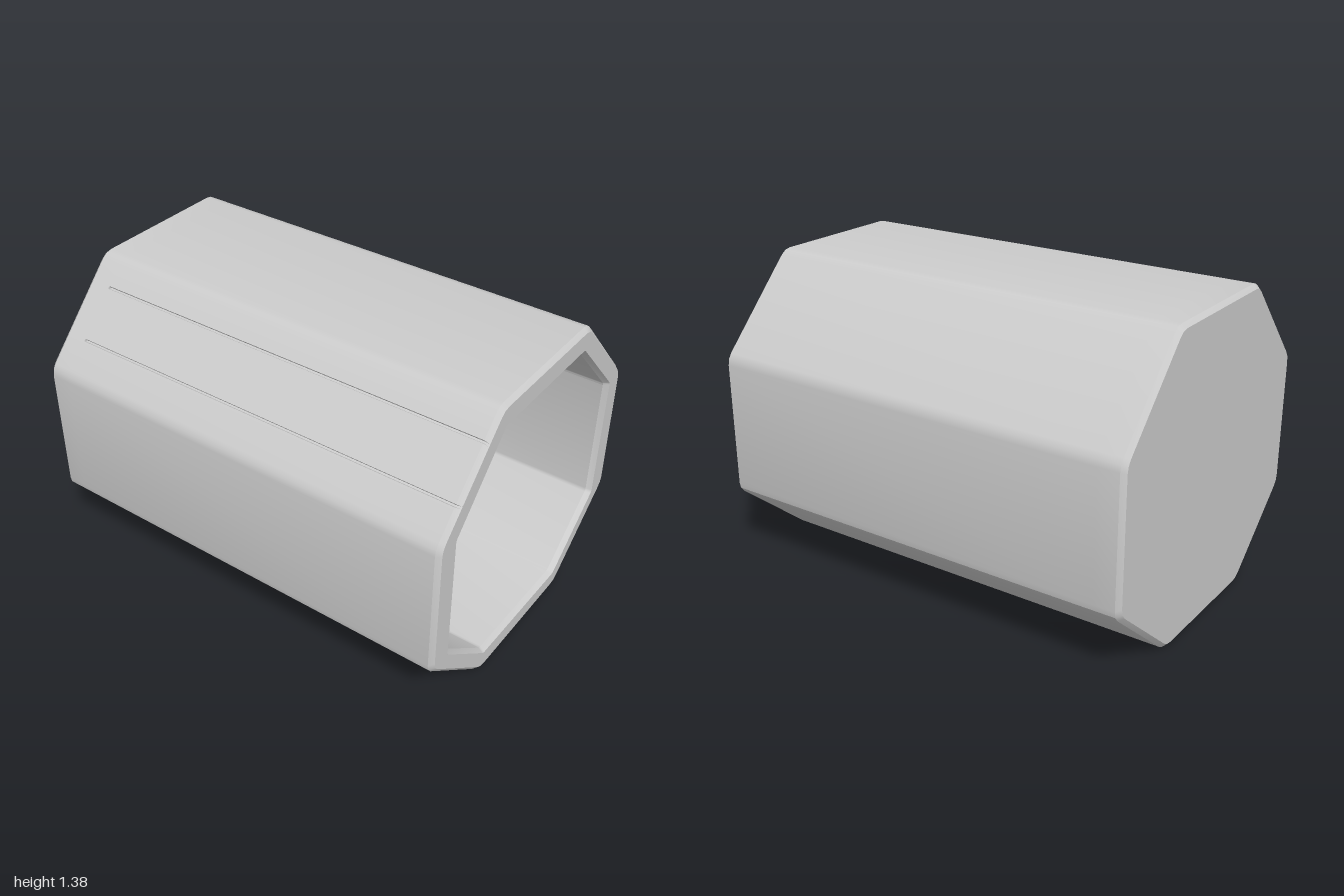
import * as THREE from 'three';
import { toCreasedNormals } from 'three/addons/utils/BufferGeometryUtils.js';

// Octagon corners, counterclockwise seen from the front
const OUTER = [[0.735, 0.34], [0.735, 0.965], [0.345, 1.375], [-0.345, 1.375],
  [-0.735, 0.965], [-0.735, 0.34], [-0.335, 0], [0.335, 0]];
const INNER = [[0.61, 0.355], [0.62, 0.94], [0.305, 1.265], [-0.305, 1.265],
  [-0.61, 0.935], [-0.61, 0.355], [-0.305, 0.1], [0.3, 0.09]];
const CENTRE = new THREE.Vector2(0, 0.685);
const GROOVES = [0.25, 0.69]; // positions along the grooved upper facet
const GROOVED_EDGE = 3;

// One cross-section: softened corners, plus two plank grooves of a given depth
function ring(corners, z, { scale = 1, soft = 0.03, depth = 0 } = {}) {
  const pts = corners.map(([x, y]) => new THREE.Vector2(x, y).sub(CENTRE).multiplyScalar(scale).add(CENTRE));
  const out = [];
  pts.forEach((p, i) => {
    const prev = pts[(i + 7) % 8], next = pts[(i + 1) % 8];
    const a = p.clone().add(prev.clone().sub(p).setLength(soft));
    const b = p.clone().add(next.clone().sub(p).setLength(soft));
    const mid = a.clone().add(b).multiplyScalar(0.25).addScaledVector(p, 0.5);
    out.push(a, mid, b);
    if (i === GROOVED_EDGE) {
      const dir = next.clone().sub(p).normalize();
      const inward = new THREE.Vector2(-dir.y, dir.x);
      for (const t of GROOVES) {
        const g = p.clone().lerp(next, t);
        for (const [along, d] of [[-0.006, 0], [-0.004, depth], [0.004, depth], [0.006, 0]]) {
          out.push(g.clone().addScaledVector(dir, along).addScaledVector(inward, d));
        }
      }
    }
  });
  return out.map((v) => new THREE.Vector3(v.x, v.y, z));
}

// A ring collapsed to its centre, used to close an end
const point = (z, count) => Array.from({ length: count }, () => new THREE.Vector3(CENTRE.x, CENTRE.y, z));

// Skin consecutive rings, leaving out collapsed triangles
function loft(rings) {
  const pos = [];
  const tri = (a, b, c) => {
    if (a.equals(b) || b.equals(c) || c.equals(a)) return;
    pos.push(...a.toArray(), ...b.toArray(), ...c.toArray());
  };
  for (let i = 0; i < rings.length - 1; i++) {
    const r = rings[i], s = rings[i + 1], n = r.length;
    for (let j = 0; j < n; j++) {
      const k = (j + 1) % n;
      tri(r[j], r[k], s[k]);
      tri(r[j], s[k], s[j]);
    }
  }
  const geo = new THREE.BufferGeometry();
  geo.setAttribute('position', new THREE.Float32BufferAttribute(pos, 3));
  return toCreasedNormals(geo, 0.45);
}

export function createModel() {
  const group = new THREE.Group();
  group.name = 'octagonalTub';
  const material = new THREE.MeshStandardMaterial({ color: 0xcccccc });

  const count = ring(OUTER, 0).length;
  const groove = { depth: 0.012 };
  const shell = new THREE.Mesh(loft([
    // closed back with a chamfered edge
    point(-1, count),
    ring(OUTER, -1, { scale: 0.975 }),
    ring(OUTER, -0.98),
    // outer wall, grooves stop short of the back
    ring(OUTER, -0.885),
    ring(OUTER, -0.884, groove),
    ring(OUTER, 0.98, groove),
    // front rim
    ring(OUTER, 1, { scale: 0.975 }),
    ring(INNER, 1, { scale: 1.02, soft: 0.01 }),
    ring(INNER, 0.975, { soft: 0.01 }),
    // hollow inside and its end wall
    ring(INNER, -0.88, { soft: 0.01 }),
    point(-0.88, count),
  ]), material);
  shell.name = 'shell';
  group.add(shell);
  return group;
}
